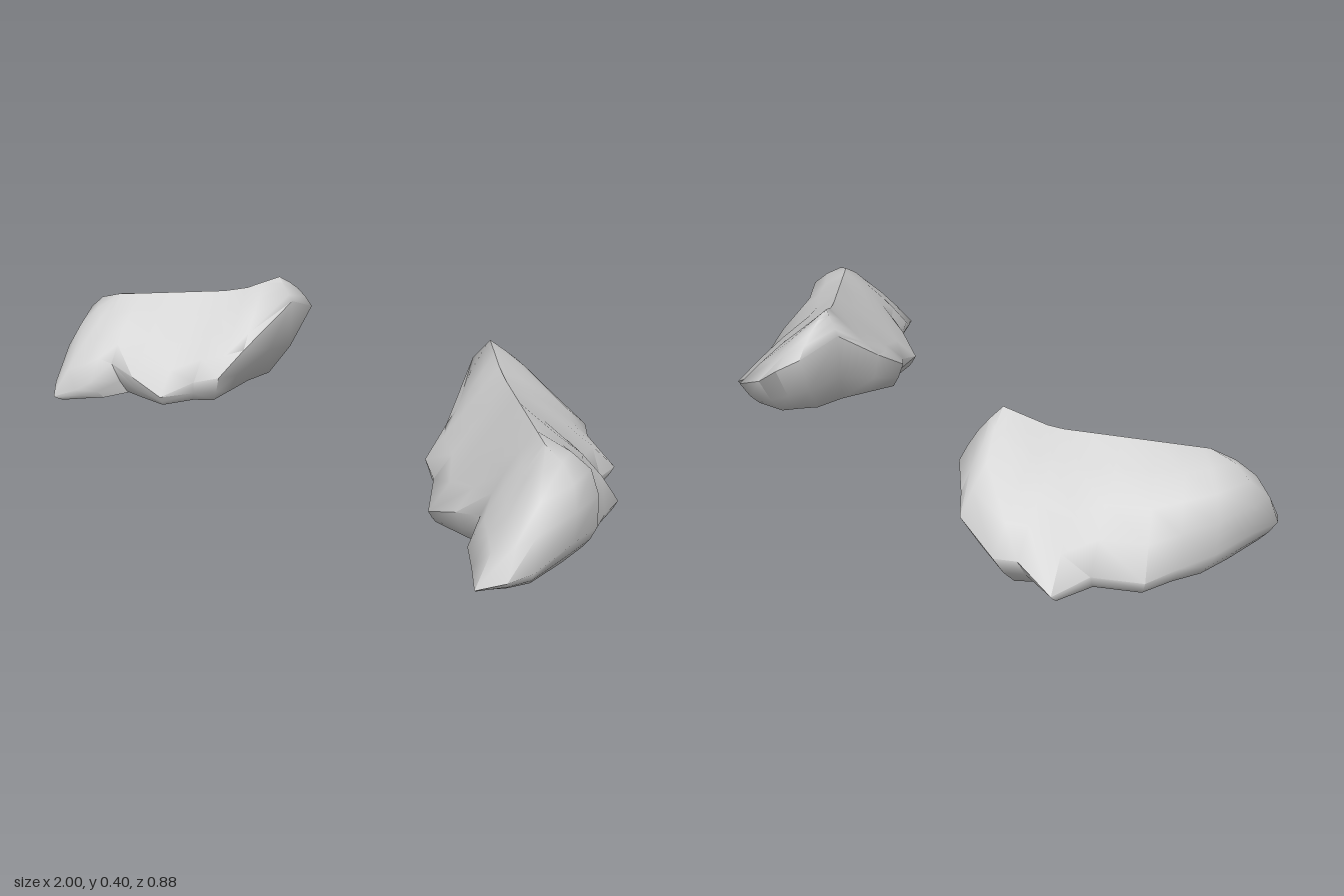
import * as THREE from 'three';
import { toCreasedNormals } from 'three/addons/utils/BufferGeometryUtils.js';

// Widest outline of the left rock, from the front tip round the inner side:
// x, y, z, position along the ridge (0 outer, 1 inner), bulge of the flank
const OUTLINE = [
  [0.88, 0.03, 0.44, 0.00, 0.01],
  [0.83, 0.05, 0.385, 0.02, 0.01],
  [0.79, 0.08, 0.35, 0.06, 0.01],
  [0.77, 0.13, 0.27, 0.14, 0.01],
  [0.68, 0.10, 0.255, 0.3, 0],
  [0.57, 0.05, 0.23, 0.5, 0],
  [0.51, 0.09, 0.13, 0.66, 0],
  [0.44, 0.11, 0.08, 0.8, 0],
  [0.43, 0.18, -0.03, 0.9, 0],
  [0.38, 0.32, -0.22, 1.0, 0],
  [0.41, 0.26, -0.35, 1.0, 0.01],
  [0.48, 0.21, -0.40, 0.97, 0.015],
  [0.525, 0.17, -0.44, 0.92, 0.015],
  [0.66, 0.11, -0.44, 0.78, 0.01],
  [0.70, 0.10, -0.39, 0.7, 0.01],
  [0.81, 0.04, -0.37, 0.56, 0.01],
  [0.83, 0.06, -0.25, 0.42, 0.01],
  [0.94, 0.06, -0.16, 0.25, 0.02],
  [0.96, 0.07, -0.05, 0.13, 0.03],
  [0.995, 0.09, 0.05, 0.04, 0.05],
  [1.0, 0.10, 0.18, 0.00, 0.05],
  [0.98, 0.07, 0.33, 0.00, 0.03],
  [0.94, 0.05, 0.385, 0.00, 0.02],
];

// Sloping crest with a small peak at its inner end
function ridge(t) {
  const peak = Math.max(0, (t - 0.75) / 0.25);
  return new THREE.Vector3(0.87 - 0.43 * t, 0.325 + 0.025 * t + 0.045 * peak, 0.14 - 0.36 * t);
}

// Underside point: the higher the outline, the further the base tucks in
function base(x, y, z) {
  const inset = 0.97 - 1.2 * y;
  return new THREE.Vector3(0.71 + (x - 0.71) * inset, 0.012, z * inset);
}

function rockGeometry(side) {
  const n = OUTLINE.length;
  const positions = [], index = [];
  const add = (p) => positions.push(p.x * side, p.y, p.z);
  const face = (a, b, c) => (side > 0 ? index.push(a, b, c) : index.push(a, c, b));

  // Base ring and rounded lower edge, then the outline and rings up to the ridge
  const levels = [-1, -0.5, 0, 0.25, 0.5, 0.75, 1];
  levels.forEach((s) => {
    OUTLINE.forEach(([x, y, z, t, bulge]) => {
      const p = new THREE.Vector3(x, y, z);
      if (s < 0) {
        p.lerp(base(x, y, z), -s);
        if (s > -1) p.y -= 0.1 * (y - 0.012);
      } else {
        const top = ridge(t);
        const out = new THREE.Vector3(x - top.x, 0, z - top.z).normalize().setY(1);
        p.lerp(top, s).addScaledVector(out, bulge * Math.sin(Math.PI * s));
      }
      add(p);
    });
  });
  for (let j = 0; j < levels.length - 1; j++) {
    for (let i = 0; i < n; i++) {
      const a = j * n + i, b = j * n + ((i + 1) % n);
      face(a, a + n, b);
      face(b, a + n, b + n);
    }
  }

  // Slightly domed underside
  const centre = positions.length / 3;
  add(new THREE.Vector3(0.72, 0, 0.05));
  for (let i = 0; i < n; i++) face(centre, i, (i + 1) % n);

  const geometry = new THREE.BufferGeometry();
  geometry.setAttribute('position', new THREE.Float32BufferAttribute(positions, 3));
  geometry.setIndex(index);
  return toCreasedNormals(geometry, 1.2);
}

export function createModel() {
  const group = new THREE.Group();
  const material = new THREE.MeshStandardMaterial({ color: 0xcccccc, roughness: 0.9 });
  for (const [name, side] of [['leftRock', 1], ['rightRock', -1]]) {
    const rock = new THREE.Mesh(rockGeometry(side), material);
    rock.name = name;
    group.add(rock);
  }
  return group;
}
